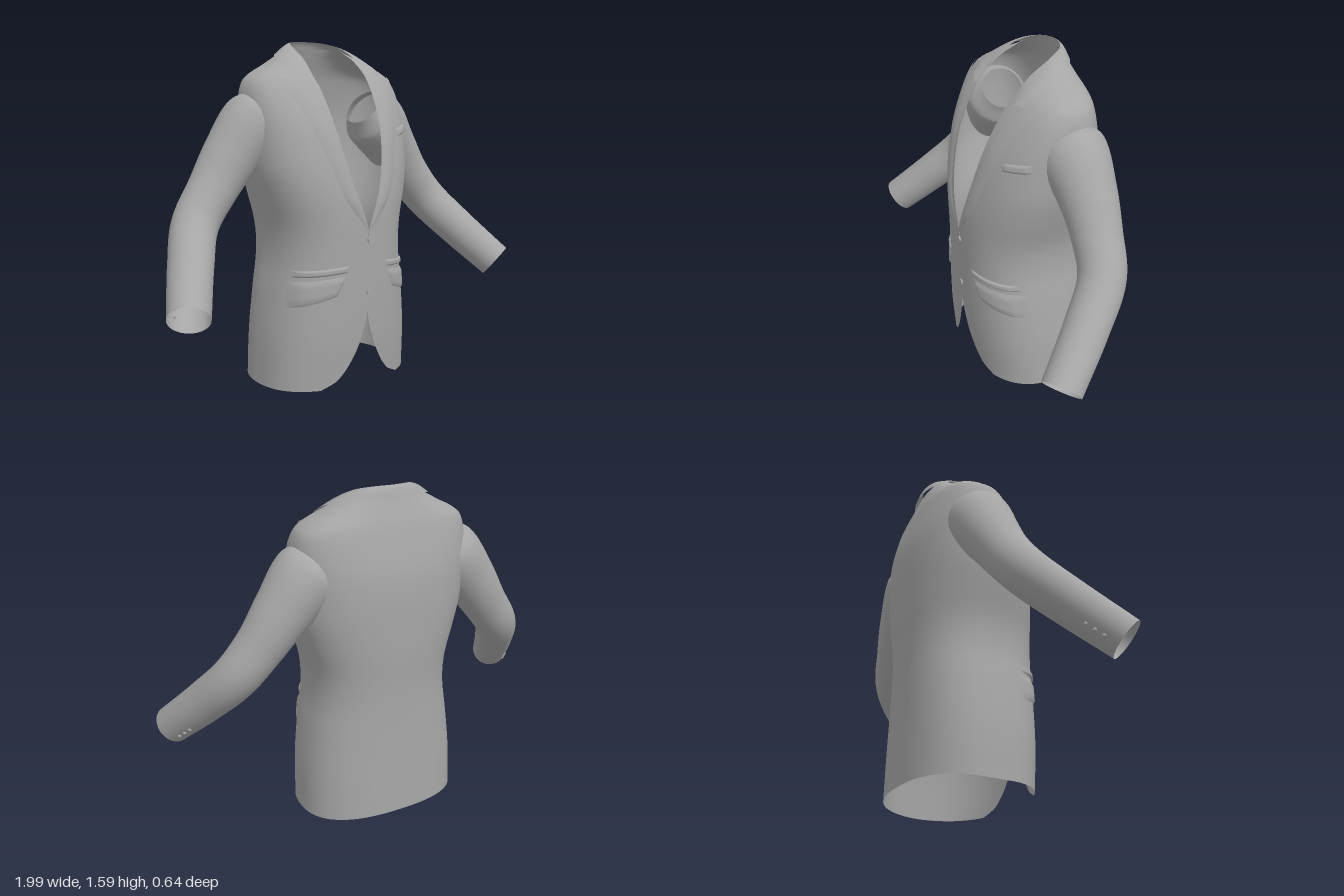
import * as THREE from 'three';

const cloth = new THREE.MeshStandardMaterial({ color: 0xa6a6a6, side: THREE.DoubleSide });
cloth.name = 'grey cloth';

// Smooth interpolation through [key, value] pairs
function track(pts) {
  const n = pts.length - 1;
  const slope = (i) => {
    const a = pts[Math.max(0, i - 1)], b = pts[Math.min(n, i + 1)];
    return (b[1] - a[1]) / (b[0] - a[0]);
  };
  return (k) => {
    if (k <= pts[0][0]) return pts[0][1];
    if (k >= pts[n][0]) return pts[n][1];
    let i = 0;
    while (k > pts[i + 1][0]) i++;
    const h = pts[i + 1][0] - pts[i][0], t = (k - pts[i][0]) / h, t2 = t * t, t3 = t2 * t;
    return (2 * t3 - 3 * t2 + 1) * pts[i][1] + (t3 - 2 * t2 + t) * h * slope(i)
      + (3 * t2 - 2 * t3) * pts[i + 1][1] + (t3 - t2) * h * slope(i + 1);
  };
}

// Body measurements by height
const width = track([[0, 0.395], [0.23, 0.385], [0.44, 0.36], [0.6, 0.336], [0.74, 0.341], [0.9, 0.385],
  [1, 0.41], [1.1, 0.42], [1.3, 0.425], [1.4, 0.4], [1.44, 0.35], [1.47, 0.29], [1.5, 0.235], [1.53, 0.178], [1.55, 0.152]]);
const front = track([[0, 0.26], [0.25, 0.28], [0.7, 0.288], [0.89, 0.28], [1.08, 0.245], [1.23, 0.197],
  [1.4, 0.1], [1.49, 0.01], [1.53, -0.06], [1.55, -0.1]]);
const back = track([[0, -0.315], [0.6, -0.305], [0.9, -0.317], [1.19, -0.312], [1.4, -0.265], [1.52, -0.222], [1.55, -0.21]]);
const middle = track([[0, -0.03], [0.8, -0.03], [1.2, -0.06], [1.4, -0.09], [1.5, -0.11], [1.55, -0.15]]);
const opening = track([[0, 0.23], [0.04, 0.15], [0.145, 0.07], [0.25, 0.025], [0.35, 0], [0.5, 0], [0.72, 0.002],
  [0.84, 0.045], [0.95, 0.085], [1.16, 0.13], [1.4, 0.153], [1.5, 0.15], [1.55, 0.145]]);
const N = 2.5;

// Point on the front of the body, lifted outward by o
function onFront(x, y, o) {
  const w = width(y) + o, r = Math.min(1, Math.abs(x) / w);
  const z = middle(y) + (front(y) + o - middle(y)) * Math.pow(1 - Math.pow(r, N), 1 / N);
  return new THREE.Vector3(x, y, z);
}

// Surface from a rule over u, v in 0..1
function surface(name, nu, nv, rule) {
  const g = new THREE.PlaneGeometry(1, 1, nu, nv), p = g.attributes.position, uv = g.attributes.uv;
  for (let i = 0; i < p.count; i++) {
    const q = rule(uv.getX(i), uv.getY(i));
    p.setXYZ(i, q.x, q.y, q.z);
  }
  g.computeVertexNormals();
  const m = new THREE.Mesh(g, cloth);
  m.name = name;
  return m;
}

// Body shell: one wrap from front edge round the back to the other front edge
function bodyPoint(u, v) {
  const y = 1.55 * (v - 0.6 * Math.sin(2 * Math.PI * v) / (2 * Math.PI));
  const s = u * 2 - 1, w = width(y), zc = middle(y);
  const a0 = Math.asin(Math.pow(Math.min(1, Math.max(0, opening(y)) / w), N / 2));
  const a = a0 + (Math.PI - a0) * (1 - Math.abs(s));
  const c = Math.cos(a), depth = c > 0 ? front(y) - zc : zc - back(y);
  return new THREE.Vector3(
    Math.sign(s) * w * Math.pow(Math.sin(a), 2 / N),
    y + 0.025 * Math.max(0, -c) * Math.max(0, 1 - y / 0.2),
    zc + Math.sign(c) * depth * Math.pow(Math.abs(c), 2 / N));
}

const V = (x, y, z) => new THREE.Vector3(x, y, z);

// Sleeve: round sections along a bent arm
const arm = new THREE.CatmullRomCurve3([V(0.29, 1.27, -0.09), V(0.36, 1.21, -0.095), V(0.49, 1.06, -0.1),
  V(0.59, 0.925, -0.09), V(0.7, 0.785, -0.055), V(0.8, 0.635, 0.075), V(0.915, 0.46, 0.255)]);
const girth = track([[0, 0.1], [1 / 6, 0.152], [2 / 6, 0.13], [3 / 6, 0.112], [4 / 6, 0.104], [5 / 6, 0.098], [1, 0.09]]);
function armPoint(a, t, lift = 0) {
  const T = arm.getTangent(t), B = T.clone().cross(V(0, 0, 1)).normalize(), D = B.clone().cross(T);
  const r = girth(t) + lift;
  return arm.getPoint(t).addScaledVector(B, r * Math.cos(a)).addScaledVector(D, r * Math.sin(a));
}

// Collar: fold line round the neck and the edge that lies on the shoulders
const fold = new THREE.CatmullRomCurve3([V(0.153, 1.375, 0.118), V(0.155, 1.43, 0.07), V(0.152, 1.5, 0.0), V(0.14, 1.555, -0.1),
  V(0.09, 1.58, -0.18), V(0, 1.585, -0.208), V(-0.09, 1.58, -0.18)]);
const fall = new THREE.CatmullRomCurve3([onFront(0.245, 1.405, 0.014), onFront(0.262, 1.45, 0.014), V(0.25, 1.5, -0.08),
  V(0.2, 1.523, -0.16), V(0.11, 1.53, -0.218), V(0, 1.533, -0.237), V(-0.11, 1.53, -0.218)]);
function collarPoint(u, v) {
  const s = u * 2 - 1, t = (1 - Math.abs(s)) * 5 / 6;
  const p = fold.getPoint(t).lerp(fall.getPoint(t), v);
  p.y += 0.014 * Math.sin(Math.PI * v);
  if (s < 0) p.x *= -1;
  return p;
}

// Lapel outer edge by height
const lapelEdge = track([[0.72, 0.004], [0.88, 0.13], [1.05, 0.195], [1.31, 0.285], [1.36, 0.318], [1.42, 0.35]]);

// Thin cloth patch between four corners: top inner, top outer, bottom inner, bottom outer
function patch(name, side, [a, b, c, d]) {
  return surface(name, 12, 6, (u, v) => {
    const mix = (i) => (a[i] * (1 - u) + b[i] * u) * v + (c[i] * (1 - u) + d[i] * u) * (1 - v);
    const edge = u === 0 || u === 1 || v === 0 || v === 1;
    const p = onFront(mix(0), mix(1), edge ? 0.001 : 0.008);
    p.x *= side;
    return p;
  });
}

export function createModel() {
  const jacket = new THREE.Group();
  jacket.name = 'jacket';
  jacket.add(surface('body', 96, 80, bodyPoint), surface('collar', 80, 8, collarPoint));

  for (const side of [1, -1]) {
    const label = side > 0 ? 'left' : 'right';
    const flip = (p) => { p.x *= side; return p; };

    jacket.add(surface(label + 'Sleeve', 40, 48, (u, v) => flip(armPoint((u === 1 ? 0 : u) * Math.PI * 2, v))));

    // Lapel rolls out at the fold and lies flat toward its pointed edge
    jacket.add(surface(label + 'Lapel', 10, 40, (u, v) => {
      const yi = 0.72 + 0.665 * v, yo = 0.72 + 0.7 * v;
      const x = opening(yi) * (1 - u) + lapelEdge(yo) * u;
      return flip(onFront(x, yi * (1 - u) + yo * u, 0.004 + 0.01 * Math.sin(Math.PI * (0.15 + 0.7 * u)) * Math.min(1, v * 5)));
    }));

    // Hip pocket welt and flap
    jacket.add(patch(label + 'PocketWelt', side, [[0.11, 0.575], [0.315, 0.555], [0.115, 0.545], [0.32, 0.525]]));
    jacket.add(patch(label + 'PocketFlap', side, [[0.12, 0.53], [0.335, 0.505], [0.165, 0.44], [0.345, 0.385]]));

    // Sleeve buttons at the back of the cuff
    for (let i = 0; i < 3; i++) {
      const b = new THREE.Mesh(new THREE.SphereGeometry(0.009, 10, 8), cloth);
      b.name = label + 'CuffButton';
      b.position.copy(flip(armPoint(-Math.PI * 0.5, 0.96 - i * 0.025)));
      jacket.add(b);
    }
  }

  // Breast pocket on the left
  jacket.add(patch('breastPocket', 1, [[0.26, 1.175], [0.37, 1.195], [0.265, 1.14], [0.375, 1.155]]));

  // Front buttons
  for (const y of [0.685, 0.44]) {
    const b = new THREE.Mesh(new THREE.CylinderGeometry(0.014, 0.014, 0.008, 16), cloth);
    b.name = 'frontButton';
    b.rotation.x = Math.PI / 2;
    b.position.set(0.005, y, front(y) + 0.003);
    jacket.add(b);
  }
  return jacket;
}
